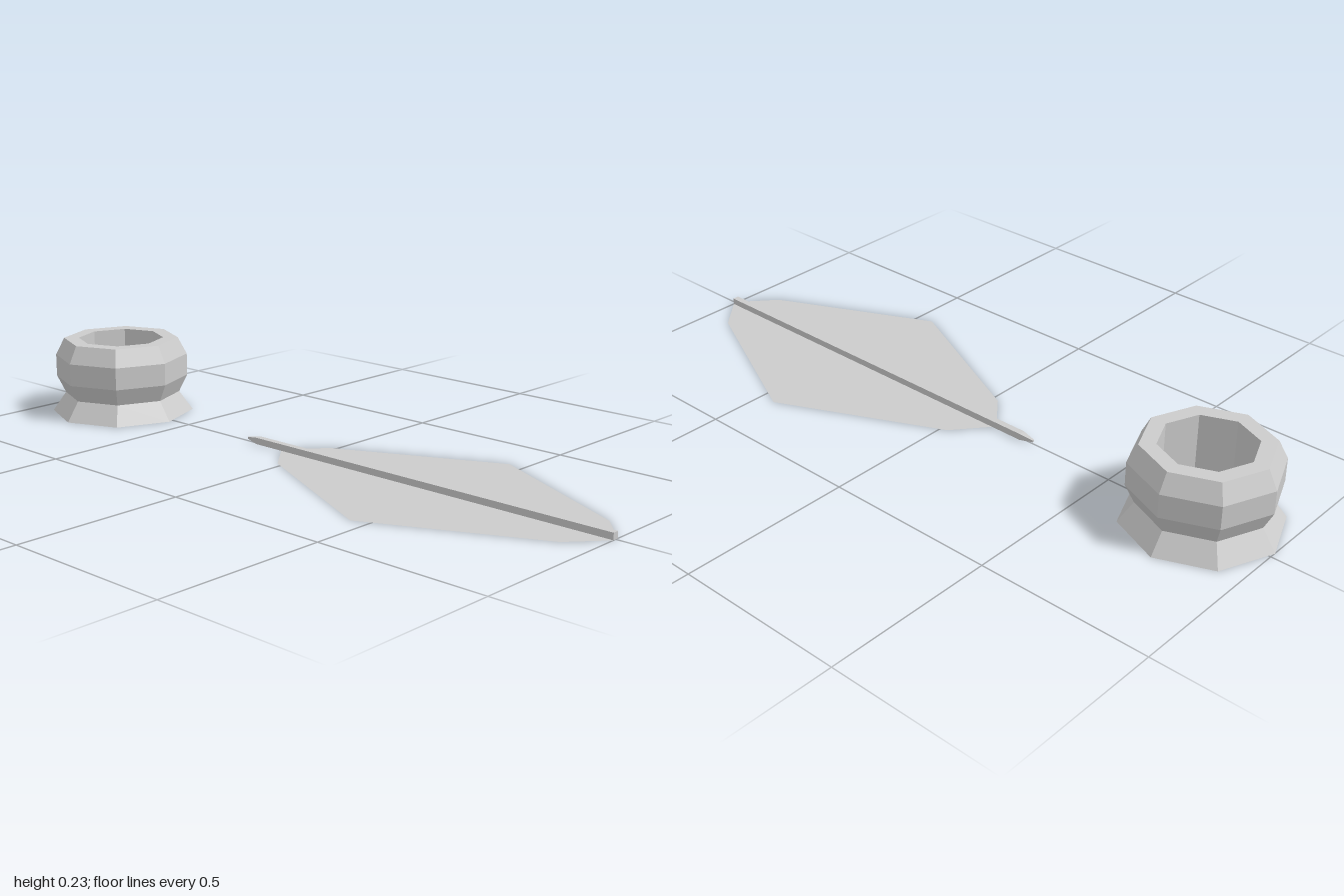
import * as THREE from 'three';

const grey = (options = {}) =>
  new THREE.MeshStandardMaterial({ color: 0xcccccc, flatShading: true, ...options });

function addPart(parent, name, geometry, material) {
  const mesh = new THREE.Mesh(geometry, material);
  mesh.name = name;
  parent.add(mesh);
  return mesh;
}

// Eight-sided pot: flared foot, bulging body, flat rim and hollow inside
function createInkwell() {
  const profile = [
    [0, 0], [0.217, 0], [0.176, 0.058], [0.202, 0.111], [0.202, 0.178],
    [0.175, 0.23], [0.13, 0.23], [0.13, 0.058], [0, 0.058],
  ].map(([r, y]) => new THREE.Vector2(r, y));
  const inkwell = new THREE.Group();
  inkwell.name = 'inkwell';
  addPart(inkwell, 'pot', new THREE.LatheGeometry(profile, 8), grey());
  inkwell.position.set(-0.784, 0, 0.018);
  return inkwell;
}

// Feather pen lying flat: square shaft, tapered nib and a thin vane
function createQuill() {
  const quill = new THREE.Group();
  quill.name = 'quill';
  const half = 0.0095;

  const shaft = new THREE.BoxGeometry(1.2, half * 2, half * 2);
  shaft.translate(0.4, half, 0);
  addPart(quill, 'shaft', shaft, grey());

  const nib = new THREE.CylinderGeometry(0.004, half * Math.SQRT2, 0.042, 4);
  nib.rotateY(Math.PI / 4).rotateZ(Math.PI / 2).translate(-0.221, half, 0);
  addPart(quill, 'nib', nib, grey());

  // Half outline, mirrored across the shaft
  const side = [[-0.1, half], [-0.02, 0.106], [0.45, 0.329], [0.915, 0.106], [1, half]];
  const mirrored = side.map(([x, z]) => [x, -z]).reverse();
  const outline = [...side, ...mirrored].map(([x, z]) => new THREE.Vector2(x, z));
  const vane = new THREE.ShapeGeometry(new THREE.Shape(outline));
  vane.rotateX(-Math.PI / 2);
  addPart(quill, 'vane', vane, grey({ side: THREE.DoubleSide }));
  return quill;
}

export function createModel() {
  const model = new THREE.Group();
  model.name = 'inkwellAndQuill';
  model.add(createInkwell(), createQuill());
  return model;
}
